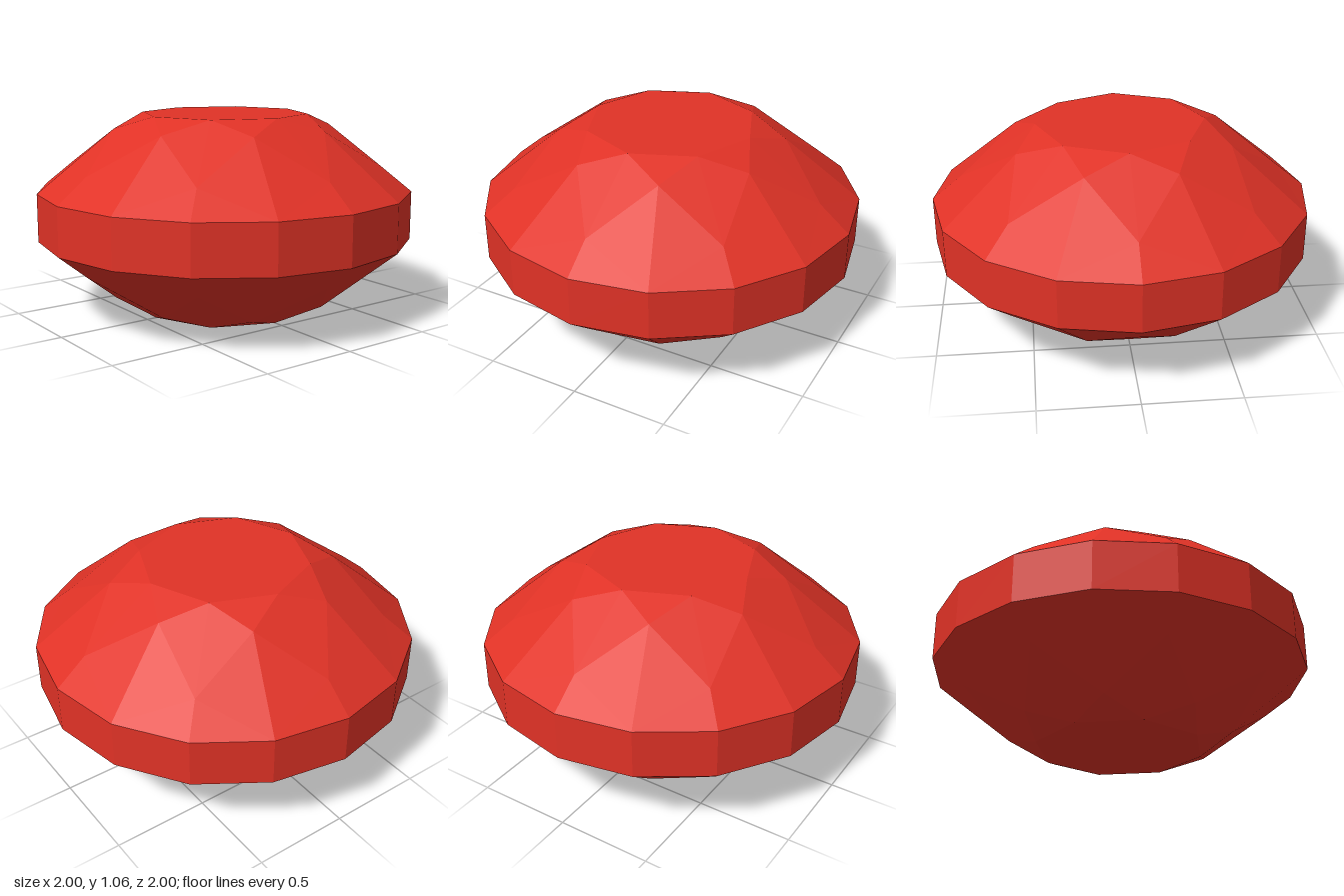
import * as THREE from 'three';

const TOP = 1.06, RIM_HIGH = 0.657, RIM_LOW = 0.403, SIDES = 8;
const STEP = Math.PI / SIDES; // half of one facet sector

// point on a ring, counted in half sectors
const ring = (r, y, k) => [r * Math.sin(k * STEP), y, r * Math.cos(k * STEP)];

// faceted cap: flat table, star facets, kite facets and rim facets
function facetedCap(flip) {
  const pos = [];
  const tri = (...p) => {
    if (flip) p.reverse();
    for (const [x, y, z] of p) pos.push(x, flip ? TOP - y : y, z);
  };
  const table = k => ring(0.445, TOP, k);
  const star = k => ring(0.593, 0.988, k);
  const kite = k => ring(0.84, 0.786, k);
  const rim = k => ring(1, RIM_HIGH, k);

  for (let k = 0; k < 2 * SIDES; k += 2) {
    tri([0, TOP, 0], table(k), table(k + 2));   // table
    tri(table(k), star(k + 1), table(k + 2));   // star facet
    tri(table(k), star(k - 1), kite(k));        // kite facet, two halves
    tri(table(k), kite(k), star(k + 1));
    for (const [a, b] of [[k, k + 1], [k - 1, k]]) tri(kite(k), rim(a), rim(b));
    tri(star(k + 1), kite(k), rim(k + 1));      // rim facets
    tri(star(k + 1), rim(k + 1), kite(k + 2));
  }
  const g = new THREE.BufferGeometry();
  g.setAttribute('position', new THREE.Float32BufferAttribute(pos, 3));
  g.computeVertexNormals();
  return g;
}

export function createModel() {
  const group = new THREE.Group();
  group.name = 'gemstone';
  const red = new THREE.MeshStandardMaterial({ color: 0xe03226, flatShading: true });
  const add = (name, geometry) => {
    const mesh = new THREE.Mesh(geometry, red);
    mesh.name = name;
    group.add(mesh);
    return mesh;
  };

  add('crown', facetedCap(false));
  add('pavilion', facetedCap(true));

  // straight sixteen-sided band between the two caps
  const girdle = new THREE.CylinderGeometry(1, 1, RIM_HIGH - RIM_LOW, 2 * SIDES, 1, true);
  add('girdle', girdle).position.y = (RIM_HIGH + RIM_LOW) / 2;

  return group;
}
